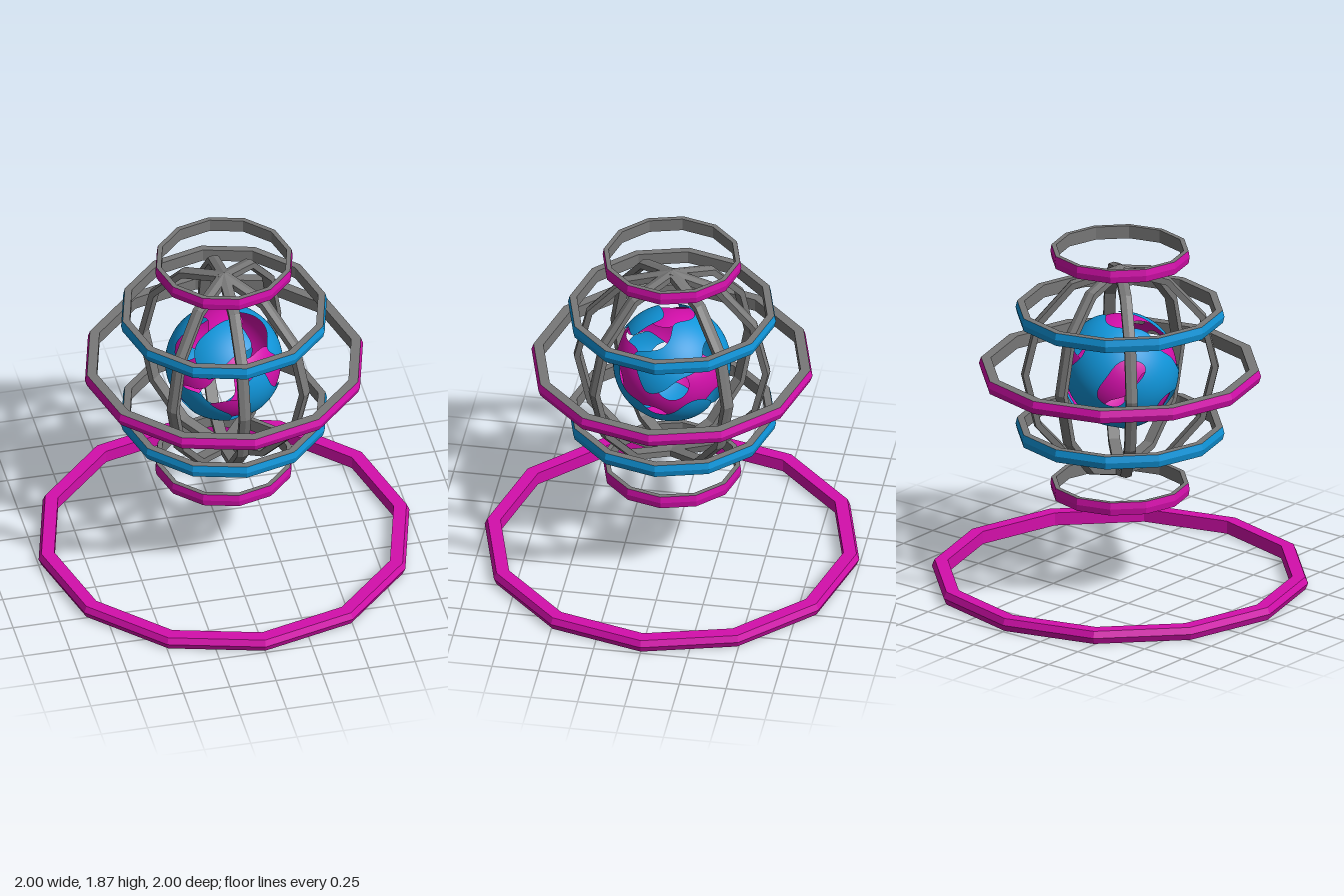
import * as THREE from 'three';

const magenta = new THREE.MeshStandardMaterial({ color: 0xd40fab, side: THREE.DoubleSide });
magenta.name = 'magenta';
const blue = new THREE.MeshStandardMaterial({ color: 0x1096db, side: THREE.DoubleSide });
blue.name = 'blue';
const gray = new THREE.MeshStandardMaterial({ color: 0x787878, side: THREE.DoubleSide });
gray.name = 'gray';

const CENTER = 1.18;

// Twelve-sided faceted surface swept from [radius, height] points
function facetedLathe(points) {
  const lathe = new THREE.LatheGeometry(points.map(([r, y]) => new THREE.Vector2(r, y)), 12);
  const flat = lathe.toNonIndexed();
  flat.computeVertexNormals();
  return flat;
}

// Hoop with a ridged outer band and a flat top, inside and bottom
function hoop(name, radius, inner, half, outerMaterial, innerMaterial) {
  const group = new THREE.Group();
  group.name = name;
  const edge = radius * 0.985;
  const band = new THREE.Mesh(
    facetedLathe([[edge, -half], [radius, 0], [edge, half]]), outerMaterial);
  band.name = name + 'OuterBand';
  const lining = new THREE.Mesh(
    facetedLathe([[edge, half], [inner, half], [inner, -half], [edge, -half]]), innerMaterial);
  lining.name = name + 'Lining';
  group.add(band, lining);
  return group;
}

// Labyrinth field that decides where a shell is solid
function labyrinth(p, k, shift) {
  const x = p.x * k + shift, y = p.y * k + shift * 0.6, z = p.z * k - shift * 0.8;
  return Math.sin(x) * Math.cos(y) + Math.sin(y) * Math.cos(z) + Math.sin(z) * Math.cos(x);
}

// Smooth sphere cut open wherever the field is negative
function perforatedShell(name, radius, field, material) {
  const source = new THREE.IcosahedronGeometry(1, 24).toNonIndexed().attributes.position;
  const positions = [], normals = [];
  const put = (p) => {
    const n = p.clone().normalize();
    normals.push(n.x, n.y, n.z);
    positions.push(n.x * radius, n.y * radius, n.z * radius);
  };
  for (let i = 0; i < source.count; i += 3) {
    const corners = [0, 1, 2].map((j) => new THREE.Vector3().fromBufferAttribute(source, i + j));
    const values = corners.map(field);
    const kept = [];
    for (let j = 0; j < 3; j++) {
      const n = (j + 1) % 3;
      if (values[j] >= 0) kept.push(corners[j]);
      if ((values[j] >= 0) !== (values[n] >= 0)) {
        kept.push(corners[j].clone().lerp(corners[n], values[j] / (values[j] - values[n])));
      }
    }
    for (let j = 1; j + 1 < kept.length; j++) [kept[0], kept[j], kept[j + 1]].forEach(put);
  }
  const geometry = new THREE.BufferGeometry();
  geometry.setAttribute('position', new THREE.Float32BufferAttribute(positions, 3));
  geometry.setAttribute('normal', new THREE.Float32BufferAttribute(normals, 3));
  const mesh = new THREE.Mesh(geometry, material);
  mesh.name = name;
  mesh.position.y = CENTER;
  return mesh;
}

export function createModel() {
  const model = new THREE.Group();
  model.name = 'ringedSphere';

  // Floor hoop and the floating hoops: name, radius, height, outer colour, lining colour
  const hoops = [
    ['baseHoop', 1.0, 0.035, magenta, magenta],
    ['bottomHoop', 0.37, CENTER - 0.65, magenta, gray],
    ['lowerHoop', 0.555, CENTER - 0.326, blue, gray],
    ['equatorHoop', 0.75, CENTER, magenta, gray],
    ['upperHoop', 0.555, CENTER + 0.326, blue, gray],
    ['topHoop', 0.37, CENTER + 0.65, magenta, gray],
  ];
  for (const [name, radius, y, outer, lining] of hoops) {
    const ring = hoop(name, radius, radius * 0.915, 0.035, outer, lining);
    ring.position.y = y;
    model.add(ring);
  }

  // Cage of three upright oval hoops crossing at the poles
  const cage = new THREE.Group();
  cage.name = 'cage';
  cage.position.y = CENTER;
  [Math.PI / 4, Math.PI / 2, (3 * Math.PI) / 4].forEach((angle, i) => {
    const rib = hoop('cageRib' + (i + 1), 0.59, 0.546, 0.03, gray, gray);
    rib.children.forEach((part) => {
      part.geometry.rotateX(Math.PI / 2);
      part.geometry.scale(0.89, 1, 1);
      part.geometry.computeVertexNormals();
    });
    rib.rotation.y = angle;
    cage.add(rib);
  });
  model.add(cage);

  // Two nested perforated shells
  model.add(perforatedShell('outerShell', 0.31, (p) => labyrinth(p, 5, 0.4) + 0.3, blue));
  model.add(perforatedShell('innerShell', 0.3, (p) => labyrinth(p, 5.3, 2.3) + 0.05, magenta));
  return model;
}
